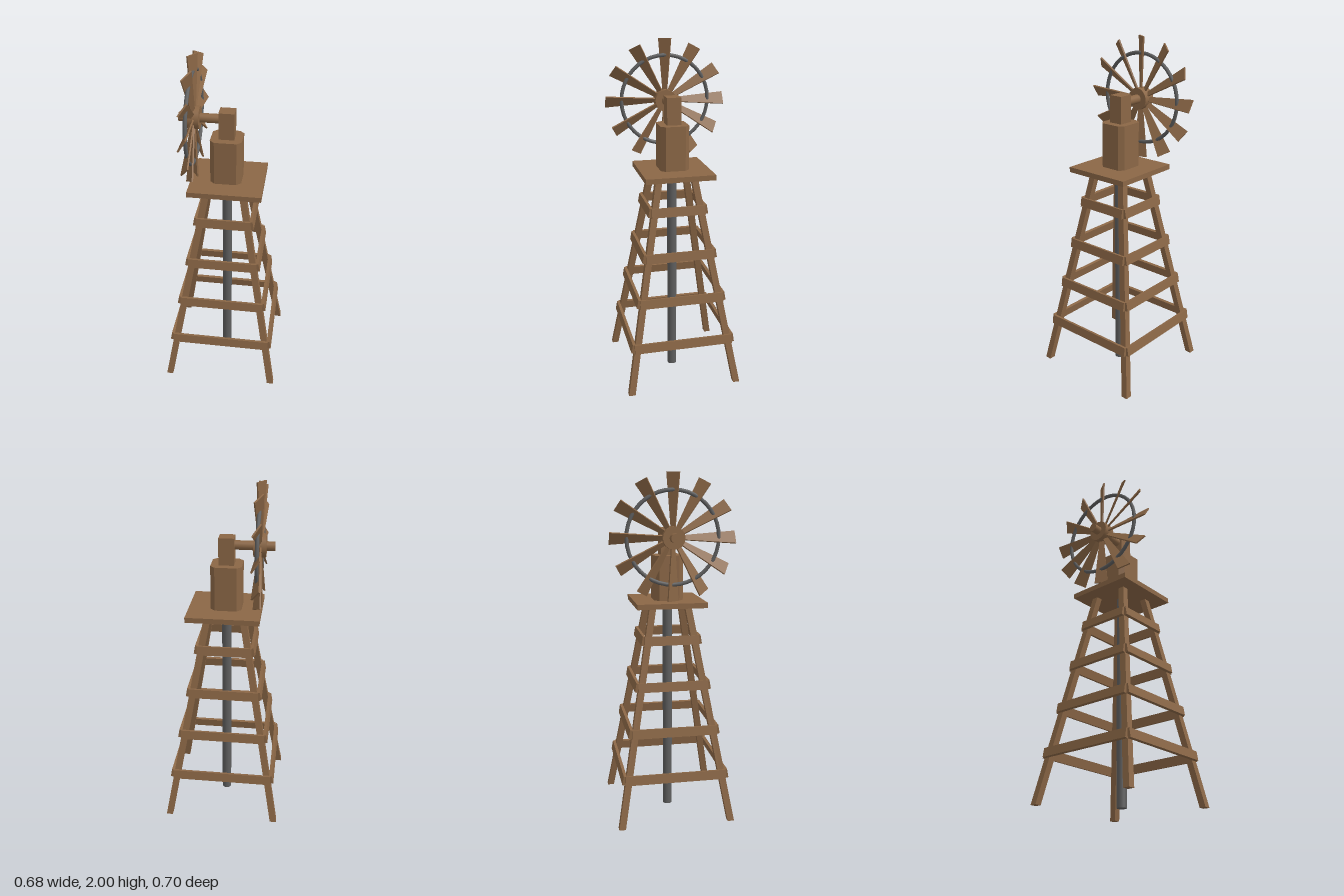
import * as THREE from 'three';

const wood = new THREE.MeshStandardMaterial({ color: 0x8b6746 });
wood.name = 'wood';
const metal = new THREE.MeshStandardMaterial({ color: 0x5e5e5e });
metal.name = 'greyMetal';

function add(parent, name, geometry, material, x = 0, y = 0, z = 0) {
  const mesh = new THREE.Mesh(geometry, material);
  mesh.name = name;
  mesh.position.set(x, y, z);
  parent.add(mesh);
  return mesh;
}

// Move every vertex by a rule
function reshape(geometry, rule) {
  const p = geometry.attributes.position;
  const v = new THREE.Vector3();
  for (let i = 0; i < p.count; i++) {
    rule(v.fromBufferAttribute(p, i));
    p.setXYZ(i, v.x, v.y, v.z);
  }
  geometry.computeVertexNormals();
  return geometry;
}

const LEG = 0.038;
const TILT = THREE.MathUtils.degToRad(9.9);
const legCentre = (y) => 0.321 - Math.tan(TILT) * y;

function createTower() {
  const tower = new THREE.Group();
  tower.name = 'tower';
  tower.position.z = -0.003;

  // Four legs leaning towards the middle
  for (const sx of [-1, 1]) for (const sz of [-1, 1]) {
    const geometry = new THREE.BoxGeometry(LEG, 1.25, LEG).translate(0, 0.635, 0);
    add(tower, 'leg', reshape(geometry, (v) => {
      const c = legCentre(v.y);
      v.x += sx * c;
      v.z += sz * c;
    }), wood);
  }

  // Cross boards nailed to the outer faces of the legs
  for (let side = 0; side < 4; side++) {
    const face = new THREE.Group();
    face.name = 'crossBoards';
    face.rotation.y = side * Math.PI / 2;
    tower.add(face);
    for (let i = 0; i < 4; i++) {
      const y = 0.29 + i * 0.259;
      const outer = legCentre(y) + LEG / 2;
      const board = add(face, 'crossBoard',
        new THREE.BoxGeometry(2 * outer + 0.006, 0.053, 0.018), wood, 0, y, outer + 0.009);
      board.rotation.x = -TILT;
    }
  }

  add(tower, 'pumpPipe', new THREE.CylinderGeometry(0.028, 0.028, 1.26, 16), metal, 0.003, 0.63, 0.003);
  add(tower, 'platform', new THREE.BoxGeometry(0.416, 0.03, 0.402), wood, 0.008, 1.27, -0.002);
  return tower;
}

function createHead() {
  const head = new THREE.Group();
  head.name = 'head';

  // Gear housing with chamfered corners
  const a = 0.088, b = 0.083, c = 0.026;
  const outline = new THREE.Shape([
    [-a + c, -b], [a - c, -b], [a, -b + c], [a, b - c],
    [a - c, b], [-a + c, b], [-a, b - c], [-a, -b + c],
  ].map(([x, y]) => new THREE.Vector2(x, y)));
  const housing = new THREE.ExtrudeGeometry(outline, { depth: 0.257, bevelEnabled: false });
  add(head, 'gearHousing', housing.rotateX(-Math.PI / 2), wood, 0.001, 1.284, -0.004);
  add(head, 'axleBlock', new THREE.BoxGeometry(0.087, 0.156, 0.082), wood, 0.002, 1.618, -0.005);

  const axle = new THREE.CylinderGeometry(0.026, 0.026, 0.235, 20).rotateZ(Math.PI / 2);
  add(head, 'axle', axle, wood, -0.147, 1.648, -0.002);
  return head;
}

function createWheel() {
  const wheel = new THREE.Group();
  wheel.name = 'windWheel';
  wheel.position.set(-0.182, 1.648, -0.002);

  add(wheel, 'hub', new THREE.CylinderGeometry(0.063, 0.063, 0.069, 16).rotateZ(Math.PI / 2), wood);
  add(wheel, 'wheelRing', new THREE.TorusGeometry(0.258, 0.011, 8, 40).rotateY(Math.PI / 2), metal);

  // Twelve pitched blades, wider at the tip
  const inner = 0.045, tip = 0.352;
  const blade = new THREE.BoxGeometry(0.009, tip - inner, 1).translate(0, (tip + inner) / 2, 0);
  reshape(blade, (v) => { v.z *= v.y > 0.2 ? 0.078 : 0.026; });
  blade.rotateY(THREE.MathUtils.degToRad(-33));
  for (let i = 0; i < 12; i++) {
    add(wheel, 'blade', blade, wood).rotation.x = i * Math.PI / 6;
  }
  return wheel;
}

export function createModel() {
  const model = new THREE.Group();
  model.name = 'windPump';
  model.add(createTower(), createHead(), createWheel());
  return model;
}
